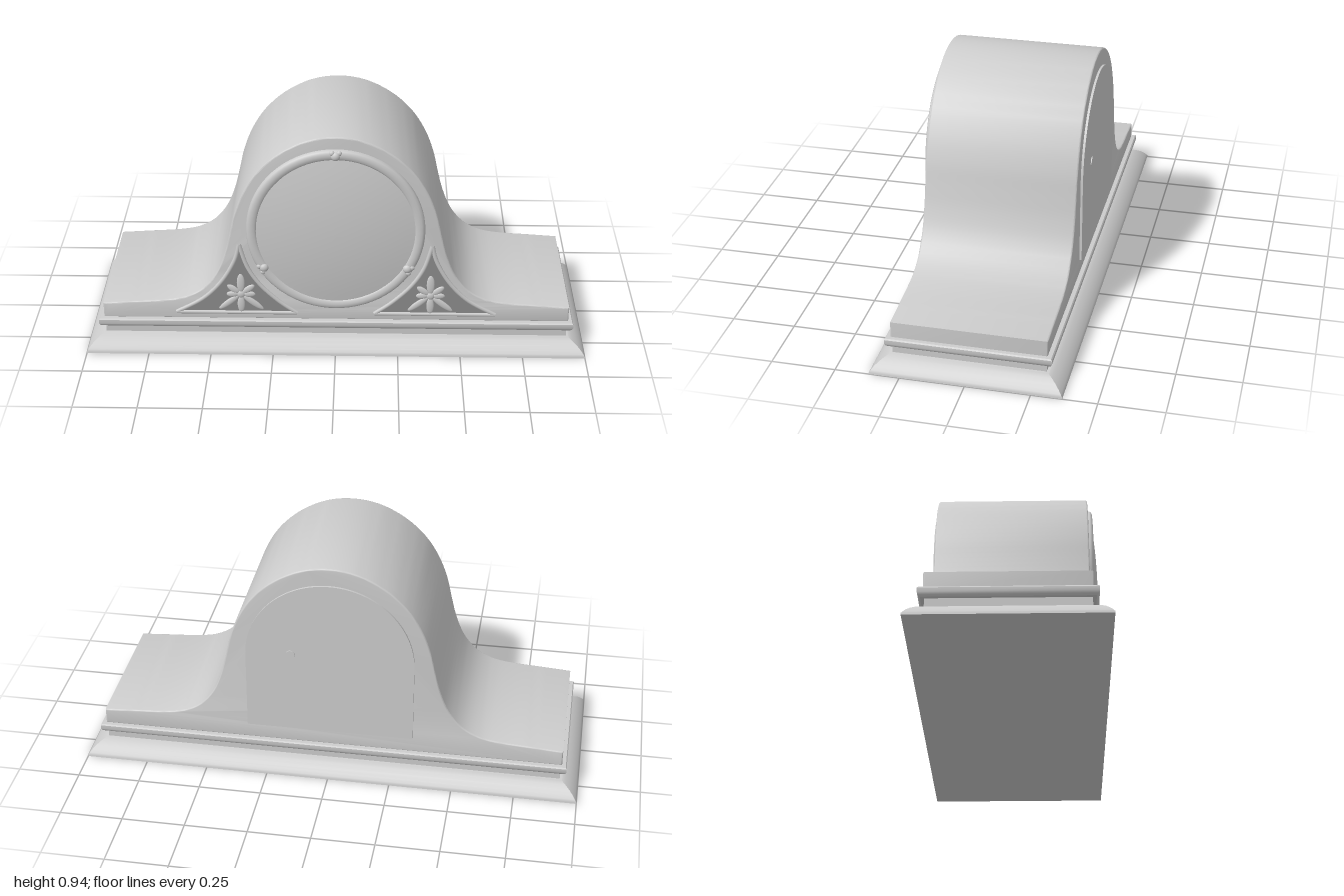
import * as THREE from 'three';
import { toCreasedNormals } from 'three/addons/utils/BufferGeometryUtils.js';

const DIAL_Y = 0.5375;

export function createModel() {
  const clock = new THREE.Group();
  clock.name = 'mantelClock';
  const casing = new THREE.MeshStandardMaterial({ name: 'pale grey casing', color: 0xcccccc });
  const recess = new THREE.MeshStandardMaterial({ name: 'dark grey recess', color: 0x8c8c8c });

  const add = (name, geometry, parent = clock, material = casing) => {
    const mesh = new THREE.Mesh(geometry, material);
    mesh.name = name;
    parent.add(mesh);
    return mesh;
  };
  const v2 = (x, y) => new THREE.Vector2(x, y);

  // Mitred rectangular moulding; profile is [half depth, height] from bottom to top
  const moulding = (profile) => {
    const pos = [];
    const corners = [[1, 1], [1, -1], [-1, -1], [-1, 1]];
    const at = ([h, y], i) => {
      const [sx, sz] = corners[i % 4];
      return [sx * (h + 0.632), y, sz * h];
    };
    const quad = (a, b, c, d) => pos.push(...a, ...b, ...c, ...a, ...c, ...d);
    for (let k = 0; k < profile.length - 1; k++) {
      const lo = profile[k], hi = profile[k + 1];
      for (let i = 0; i < 4; i++) quad(at(lo, i), at(lo, i + 1), at(hi, i + 1), at(hi, i));
    }
    const top = profile[profile.length - 1], bottom = profile[0];
    quad(at(top, 0), at(top, 1), at(top, 2), at(top, 3));
    quad(at(bottom, 3), at(bottom, 2), at(bottom, 1), at(bottom, 0));
    const g = new THREE.BufferGeometry();
    g.setAttribute('position', new THREE.Float32BufferAttribute(pos, 3));
    return toCreasedNormals(g, 0.6);
  };

  // Plinth and the rounded band above it
  add('plinth', moulding([
    [0.368, 0], [0.368, 0.006], [0.362, 0.015], [0.352, 0.027], [0.338, 0.04],
    [0.32, 0.052], [0.305, 0.059], [0.295, 0.062], [0.295, 0.1],
  ]));
  add('baseBand', moulding([
    [0.308, 0.095], [0.315, 0.101], [0.319, 0.11], [0.319, 0.126], [0.315, 0.131], [0.298, 0.132],
  ]));

  // Arched body with sweeping shoulders
  const half = [
    [0.932, 0.195], [0.8, 0.204], [0.685, 0.212], [0.6, 0.228], [0.53, 0.267], [0.475, 0.335],
    [0.44, 0.42], [0.417, 0.51], [0.395, 0.605], [0.358, 0.7], [0.3, 0.79], [0.215, 0.867],
    [0.11, 0.92], [0, 0.937],
  ];
  const outline = half.concat(half.slice(0, -1).reverse().map(([x, y]) => [-x, y]));
  const curve = new THREE.SplineCurve(outline.map(([x, y]) => v2(x, y))).getPoints(104);
  const bodyShape = new THREE.Shape([v2(-0.932, 0.13), v2(0.932, 0.13), ...curve]);
  const body = new THREE.ExtrudeGeometry(bodyShape, {
    depth: 0.588, bevelThickness: 0.006, bevelSize: 0.006, bevelOffset: -0.006, bevelSegments: 3,
  });
  body.translate(0, 0, -0.294);
  add('body', toCreasedNormals(body, 0.6));

  // Arched back door with its knob
  const doorShape = new THREE.Shape();
  doorShape.moveTo(-0.335, 0.197);
  doorShape.lineTo(0.335, 0.197);
  doorShape.lineTo(0.335, 0.53);
  doorShape.absarc(0, 0.53, 0.335, 0, Math.PI, false);
  doorShape.closePath();
  const door = new THREE.ExtrudeGeometry(doorShape, { depth: 0.014, bevelEnabled: false, curveSegments: 40 });
  door.translate(0, 0, -0.309);
  add('backDoor', toCreasedNormals(door, 0.6));
  const knob = add('backDoorKnob', new THREE.CylinderGeometry(0.019, 0.019, 0.008, 20));
  knob.rotation.x = Math.PI / 2;
  knob.position.set(0.155, 0.545, -0.309);

  // Dial: rounded bezel and domed glass
  const dial = new THREE.Group();
  dial.name = 'dial';
  dial.position.set(0, DIAL_Y, 0.3);
  clock.add(dial);
  const bezel = new THREE.LatheGeometry([
    [0.35, -0.004], [0.35, 0.008], [0.346, 0.015], [0.338, 0.019], [0.328, 0.02],
    [0.318, 0.018], [0.311, 0.014], [0.308, 0.008],
  ].reverse().map(([r, z]) => v2(r, z)), 72);
  bezel.rotateX(Math.PI / 2);
  const bezelMesh = add('bezel', bezel, dial);
  bezelMesh.material = casing;
  casing.side = THREE.DoubleSide;
  const dome = [];
  for (let i = 0; i <= 10; i++) {
    const t = i / 10;
    dome.push(v2(0.312 * (1 - t), 0.014 + 0.027 * (1 - (1 - t) ** 2)));
  }
  const glass = new THREE.LatheGeometry(dome, 72);
  glass.rotateX(Math.PI / 2);
  add('glass', glass, dial);

  // Three clasps around the bezel
  for (const angle of [90, 210, 330]) {
    const clasp = new THREE.Group();
    clasp.name = 'clasp';
    clasp.rotation.z = THREE.MathUtils.degToRad(angle - 90);
    dial.add(clasp);
    for (const [x, y, r] of [[0, 0.326, 0.018], [-0.014, 0.339, 0.011], [0.014, 0.339, 0.011]]) {
      const bead = add('claspBead', new THREE.SphereGeometry(r, 16, 10), clasp);
      bead.position.set(x, y, 0.015);
      bead.scale.z = 0.75;
    }
  }

  // Three-sided corner ornaments, mirrored
  for (const s of [1, -1]) {
    const ornament = new THREE.Group();
    ornament.name = s > 0 ? 'leftOrnament' : 'rightOrnament';
    clock.add(ornament);
    const edge = (pts) => new THREE.SplineCurve(pts.map(([x, y]) => v2(s * x, y))).getPoints(20);
    const edges = [
      edge([[0.38, 0.47], [0.4, 0.396], [0.453, 0.302], [0.53, 0.222], [0.637, 0.16]]),
      edge([[0.637, 0.16], [0.155, 0.16]]),
      edge([[0.155, 0.16], [0.225, 0.212], [0.3, 0.288], [0.35, 0.37], [0.38, 0.47]]),
    ];
    const panel = new THREE.ShapeGeometry(new THREE.Shape(edges.flatMap((e) => e.slice(0, -1))));
    panel.translate(0, 0, 0.302);
    add('ornamentPanel', panel, ornament, recess);
    for (const e of edges) {
      const path = new THREE.CatmullRomCurve3(e.map((p) => new THREE.Vector3(p.x, p.y, 0)));
      const trim = add('ornamentTrim', new THREE.TubeGeometry(path, 24, 0.0085, 8), ornament);
      trim.position.z = 0.301;
      trim.scale.z = 0.8;
    }
    // Flower: [direction in degrees, length, half width]
    const petals = [
      [90, 0.085, 0.016], [270, 0.075, 0.015], [38, 0.06, 0.013], [142, 0.06, 0.013],
      [0, 0.05, 0.013], [180, 0.05, 0.013], [322, 0.105, 0.013], [218, 0.105, 0.013],
    ];
    for (const [deg, length, width] of petals) {
      const geo = new THREE.SphereGeometry(1, 14, 10);
      geo.scale(length / 2, width, 0.006);
      geo.translate(length / 2 + 0.008, 0, 0);
      const petal = add('petal', geo, ornament);
      petal.rotation.z = THREE.MathUtils.degToRad(deg);
      petal.position.set(s * 0.377, 0.245, 0.303);
    }
    const heart = add('flowerCentre', new THREE.SphereGeometry(0.016, 16, 10), ornament);
    heart.position.set(s * 0.377, 0.245, 0.303);
    heart.scale.z = 0.45;
  }
  return clock;
}
